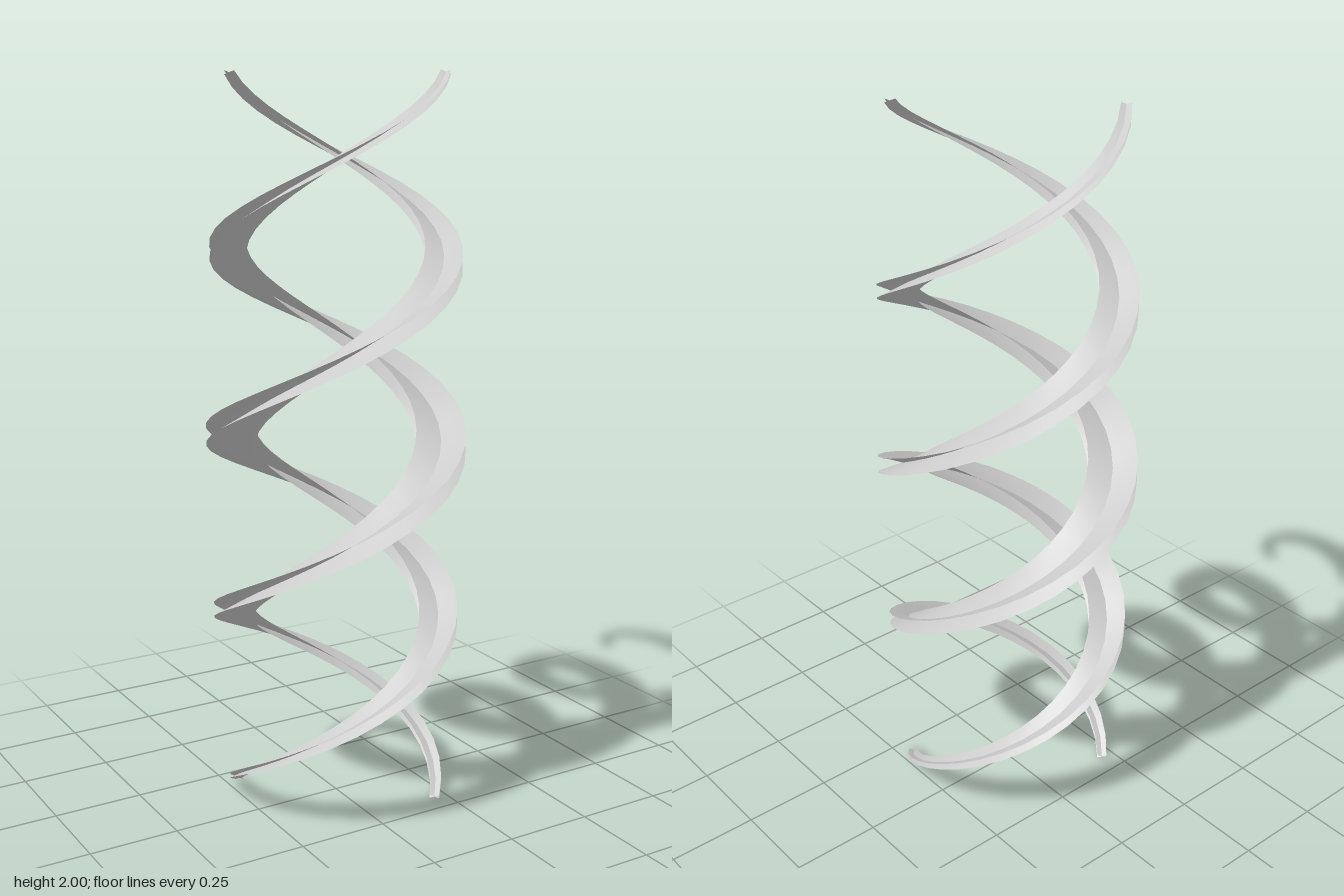
import * as THREE from 'three';

const TURNS = 2, SEGMENTS = 64;
const RADIUS = 0.285;      // centre line of each strand
const REACH = 0.067;       // half width of a ribbon, radially
const RISE = 0.025;        // half height of the crossed ribbons
const START = THREE.MathUtils.degToRad(47);

const material = new THREE.MeshStandardMaterial({ color: 0xcccccc, side: THREE.DoubleSide });

// Helical ribbon, tilted up (tilt 1) or down (tilt -1) towards the outside, tapering to both ends
function ribbonGeometry(tilt) {
  const positions = [], indices = [];
  for (let i = 0; i <= SEGMENTS; i++) {
    const t = i / SEGMENTS;
    const angle = START + t * TURNS * Math.PI * 2;
    const taper = 0.2 + 0.8 * Math.sin(Math.PI * t);
    const y = 0.005 + 1.99 * t;
    for (const side of [-1, 0, 1]) {
      const r = RADIUS + side * REACH * taper;
      positions.push(r * Math.sin(angle), y + side * tilt * RISE * taper, r * Math.cos(angle));
    }
    if (i === SEGMENTS) continue;
    for (let k = 0; k < 2; k++) {
      const a = i * 3 + k, b = a + 1, c = a + 3, d = a + 4;
      indices.push(a, b, c, b, d, c);
    }
  }
  const geometry = new THREE.BufferGeometry();
  geometry.setAttribute('position', new THREE.Float32BufferAttribute(positions, 3));
  geometry.setIndex(indices);
  geometry.computeVertexNormals();
  return geometry;
}

export function createModel() {
  const model = new THREE.Group();
  model.name = 'doubleHelix';
  const ribbons = [['risingRibbon', ribbonGeometry(1)], ['fallingRibbon', ribbonGeometry(-1)]];

  // Two strands, half a turn apart, each made of two crossed ribbons
  ['firstStrand', 'secondStrand'].forEach((name, i) => {
    const strand = new THREE.Group();
    strand.name = name;
    strand.rotation.y = i * Math.PI;
    for (const [ribbonName, geometry] of ribbons) {
      const ribbon = new THREE.Mesh(geometry, material);
      ribbon.name = ribbonName;
      strand.add(ribbon);
    }
    model.add(strand);
  });
  return model;
}
